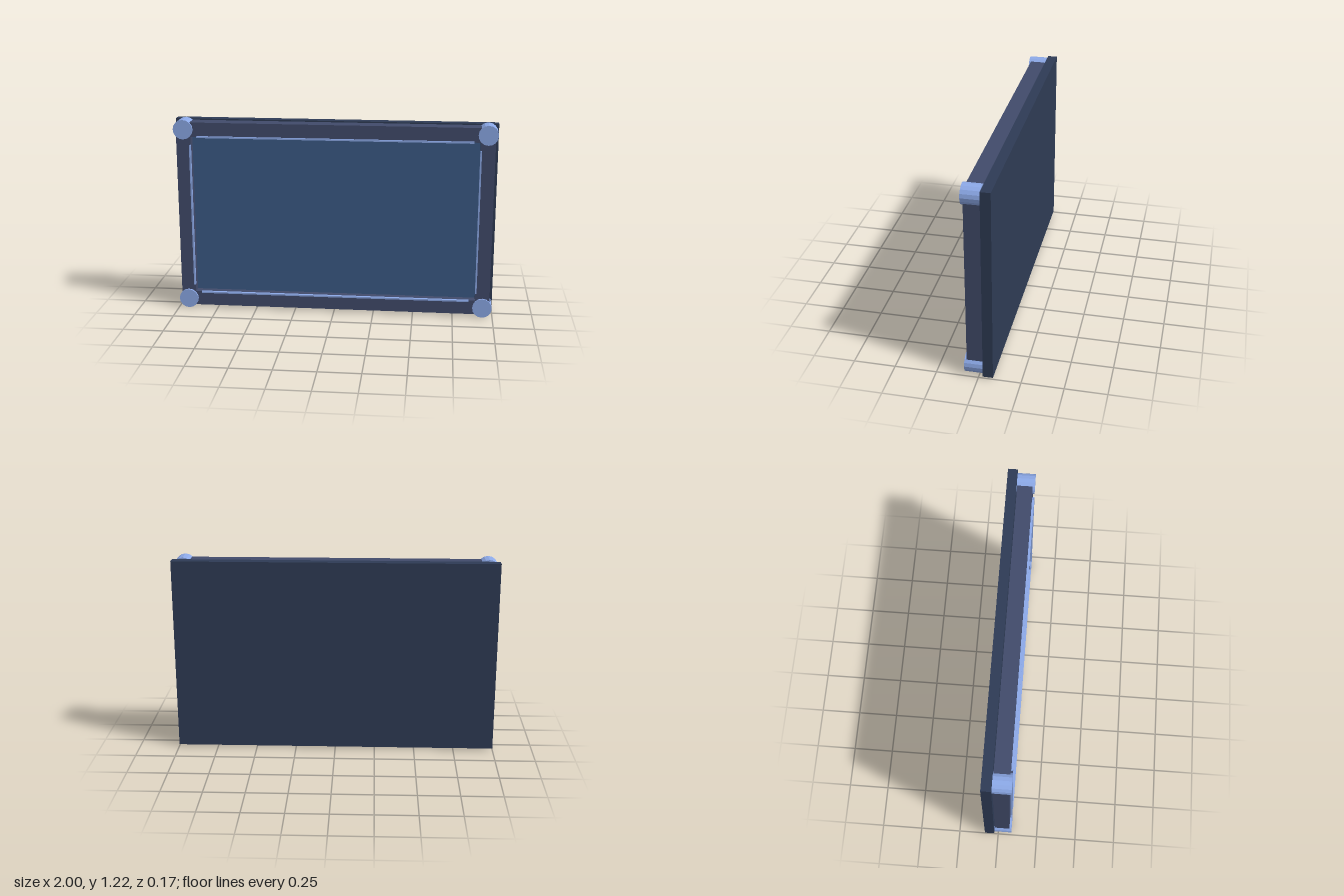
import * as THREE from 'three';

const paint = (color) => new THREE.MeshStandardMaterial({ color, flatShading: true });

export function createModel() {
  const group = new THREE.Group();
  const navy = paint(0x2e3b55);
  const slate = paint(0x414b6b);
  const blue = paint(0x3b5b86);
  const light = paint(0x8ca9e8);
  const midY = 0.615;

  // Box given by its centre and size
  const box = (name, mat, [x, y, z], size) => {
    const mesh = new THREE.Mesh(new THREE.BoxGeometry(...size), mat);
    mesh.position.set(x, y, z);
    mesh.name = name;
    group.add(mesh);
  };

  // Backing slab and recessed screen
  box('backPanel', navy, [0, midY, -0.056], [2, 1.204, 0.06]);
  box('screen', blue, [0, midY, -0.003], [1.8, 1.03, 0.04]);

  for (const s of [-1, 1]) {
    // Frame rails
    box('horizontalRail', slate, [0, midY + s * 0.55, 0.025], [1.87, 0.09, 0.094]);
    box('verticalRail', slate, [s * 0.935, midY, 0.025], [0.09, 1.1, 0.094]);

    // Thin light strips along the inner edges of the frame
    box('horizontalStrip', light, [0, midY + s * 0.506, 0.077], [1.7, 0.01, 0.018]);
    box('verticalStrip', light, [s * 0.893, midY, 0.077], [0.01, 0.91, 0.018]);

    // Round corner posts
    for (const t of [-1, 1]) {
      const geo = new THREE.CylinderGeometry(0.061, 0.061, 0.11, 16).rotateX(Math.PI / 2);
      const post = new THREE.Mesh(geo, light);
      post.position.set(s * 0.935, midY + t * 0.551, 0.03);
      post.name = 'cornerPost';
      group.add(post);
    }
  }
  return group;
}
